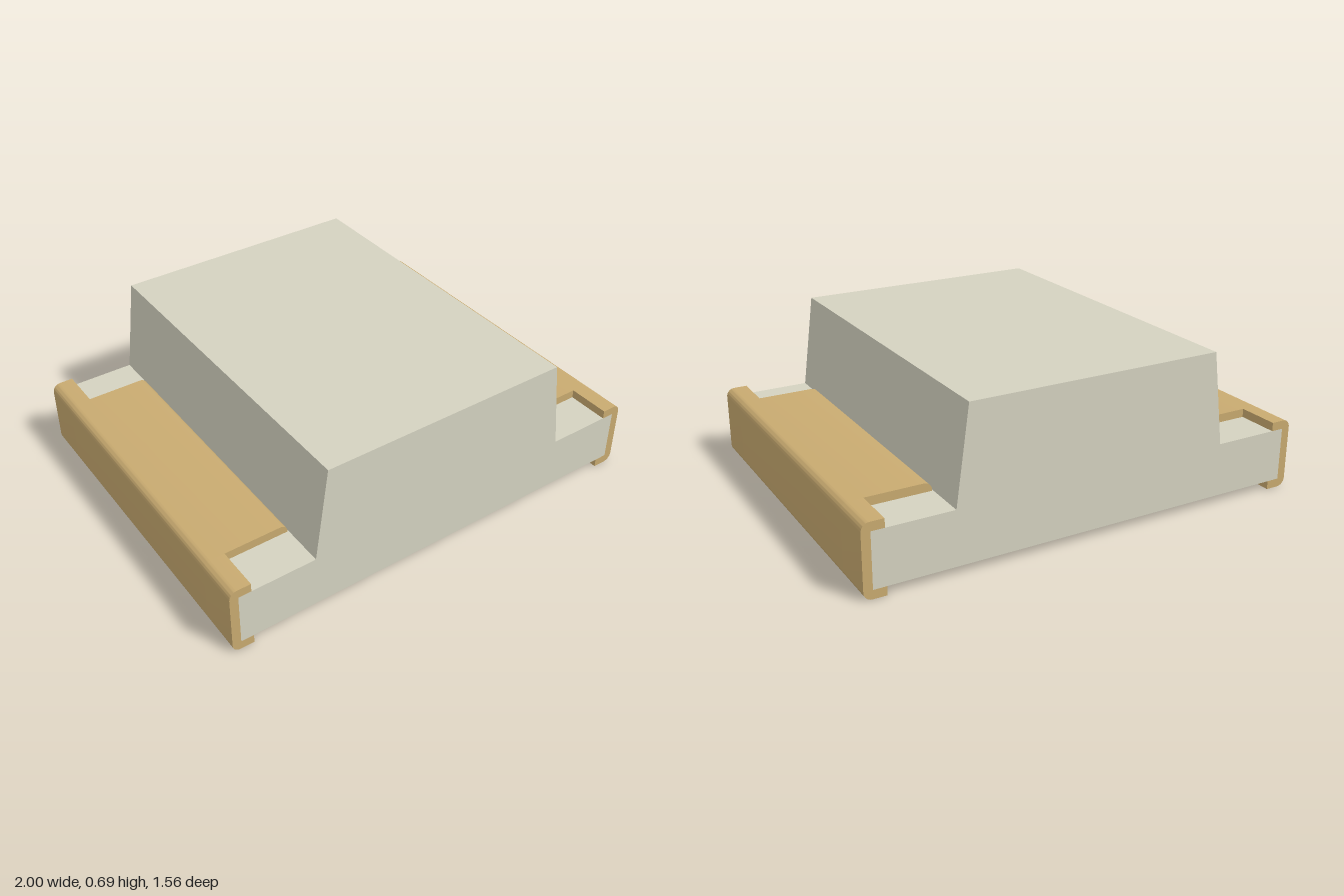
import * as THREE from 'three';
import { toCreasedNormals } from 'three/addons/utils/BufferGeometryUtils.js';

const DEPTH = 1.56, NOTCH = 0.19, WALL = 0.038, PAD_TOP = 0.312;

const material = (color) => new THREE.MeshStandardMaterial({ color });

// Extrude a front-facing outline between two z positions
function extrude(shape, z0, z1) {
  const geo = new THREE.ExtrudeGeometry(shape, { depth: z1 - z0, bevelEnabled: false, curveSegments: 8 });
  return toCreasedNormals(geo.translate(0, 0, z0), 0.6);
}

// C-shaped clip outline: outer corners rounded by r, arm tips rounded by tip
function clipOutline(innerX, tip) {
  const r = 0.036, s = new THREE.Shape();
  s.moveTo(innerX + tip, 0);
  s.lineTo(1 - r, 0);
  s.absarc(1 - r, r, r, -Math.PI / 2, 0, false);
  s.lineTo(1, PAD_TOP - r);
  s.absarc(1 - r, PAD_TOP - r, r, 0, Math.PI / 2, false);
  s.lineTo(innerX + tip, PAD_TOP);
  if (tip) s.absarc(innerX + tip, PAD_TOP - tip, tip, Math.PI / 2, Math.PI, false);
  s.lineTo(innerX, PAD_TOP - WALL);
  s.lineTo(1 - WALL, PAD_TOP - WALL);
  s.lineTo(1 - WALL, WALL);
  s.lineTo(innerX, WALL);
  if (tip) s.absarc(innerX + tip, tip, tip, Math.PI, Math.PI * 1.5, false);
  return s;
}

// Metal terminal: long arms in the middle, short arms at both notched ends
function createTerminal(name, mat) {
  const terminal = new THREE.Group();
  terminal.name = name;
  const h = DEPTH / 2, m = h - NOTCH;
  const long = clipOutline(0.625, 0.034), short = clipOutline(0.906, 0);
  const parts = [
    ['terminalMiddle', long, -m, m],
    ['terminalFrontEnd', short, m, h],
    ['terminalBackEnd', short, -h, -m],
  ];
  for (const [partName, shape, z0, z1] of parts) {
    const mesh = new THREE.Mesh(extrude(shape, z0, z1), mat);
    mesh.name = partName;
    terminal.add(mesh);
  }
  return terminal;
}

export function createModel() {
  const model = new THREE.Group();
  model.name = 'chipPackage';

  // Moulded body: flat base with a tapered block on top
  const half = [[0.962, WALL], [0.962, PAD_TOP - WALL], [0.62, PAD_TOP - WALL], [0.563, 0.688]];
  const outline = [...half, ...half.map(([x, y]) => [-x, y]).reverse()];
  const bodyShape = new THREE.Shape(outline.map(([x, y]) => new THREE.Vector2(x, y)));
  const body = new THREE.Mesh(extrude(bodyShape, -DEPTH / 2, DEPTH / 2), material(0xd4d2c0));
  body.name = 'body';
  model.add(body);

  // Terminals wrapped round both sides
  const gold = material(0xc8aa70);
  const left = createTerminal('leftTerminal', gold);
  const right = createTerminal('rightTerminal', gold);
  right.rotation.y = Math.PI;
  model.add(left, right);

  // Triangular polarity mark on the underside, pointing to -x
  const triangle = new THREE.Shape([[0.537, -0.62], [0.537, 0.62], [-0.54, 0]]
    .map(([x, y]) => new THREE.Vector2(x, y)));
  const markGeo = new THREE.ExtrudeGeometry(triangle, { depth: 0.02, bevelEnabled: false });
  markGeo.rotateX(-Math.PI / 2).translate(0, 0.02, 0);
  const mark = new THREE.Mesh(markGeo, material(0x3d8055));
  mark.name = 'polarityMark';
  model.add(mark);

  return model;
}
